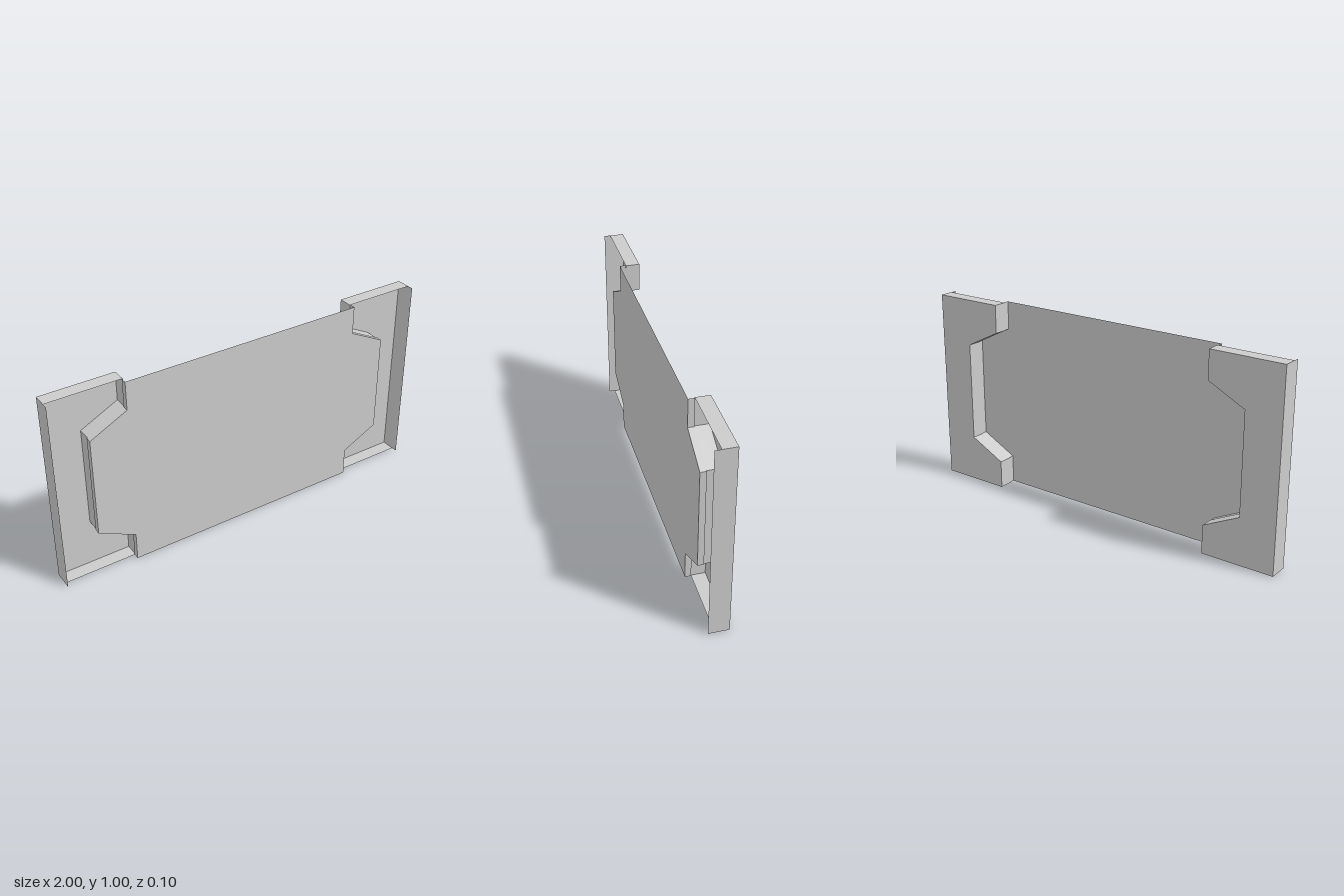
import * as THREE from 'three';

const H = 0.995, BACK = -0.05, LIP = 0.02, FRONT = 0.05;

// Stepped edge from bottom to top: narrow at the ends, wide in the middle
const steppedEdge = (side, inset = 0) => [
  [0.63, 0], [0.63, 0.145], [0.82, 0.24], [0.82, 0.755], [0.63, 0.85], [0.63, H],
].map(([x, y]) => new THREE.Vector2(side * (x - inset), y));

// Thin flat wall following a path in x/y, spanning z0 to z1
function ribbon(points, z0, z1) {
  const pos = [];
  for (let i = 0; i < points.length - 1; i++) {
    const a = points[i], b = points[i + 1];
    pos.push(a.x, a.y, z0, b.x, b.y, z0, b.x, b.y, z1);
    pos.push(a.x, a.y, z0, b.x, b.y, z1, a.x, a.y, z1);
  }
  const geo = new THREE.BufferGeometry();
  geo.setAttribute('position', new THREE.Float32BufferAttribute(pos, 3));
  geo.computeVertexNormals();
  return geo;
}

// Flat sheet with the given outline at depth z
const sheet = (points, z) => new THREE.ShapeGeometry(new THREE.Shape(points)).translate(0, 0, z);

export function createModel() {
  const model = new THREE.Group();
  model.name = 'steppedPanel';
  const material = new THREE.MeshStandardMaterial({ color: 0xcccccc, side: THREE.DoubleSide });
  const add = (parent, name, geo) => {
    const mesh = new THREE.Mesh(geo, material);
    mesh.name = name;
    parent.add(mesh);
  };

  // Large front sheet, wider through the middle
  add(model, 'frontPanel', sheet([...steppedEdge(1), ...steppedEdge(-1).reverse()], FRONT));

  for (const side of [1, -1]) {
    const end = new THREE.Group();
    end.name = side > 0 ? 'leftEnd' : 'rightEnd';
    model.add(end);

    // Shallow rim folded back from the panel edge
    add(end, 'panelRim', ribbon(steppedEdge(side), LIP, FRONT));

    // Open-fronted end frame: back plate, notch wall, caps and outer wall
    const notch = steppedEdge(side, 0.005);
    const bottom = new THREE.Vector2(side, 0), top = new THREE.Vector2(side, H);
    add(end, 'backPlate', sheet([bottom, top, ...[...notch].reverse()], BACK));
    add(end, 'notchWall', ribbon(notch, BACK, LIP));
    add(end, 'bottomCap', ribbon([notch[0], bottom], BACK, LIP));
    add(end, 'topCap', ribbon([notch[5], top], BACK, LIP));
    add(end, 'outerWall', ribbon([bottom, top], BACK, FRONT));
  }
  return model;
}
